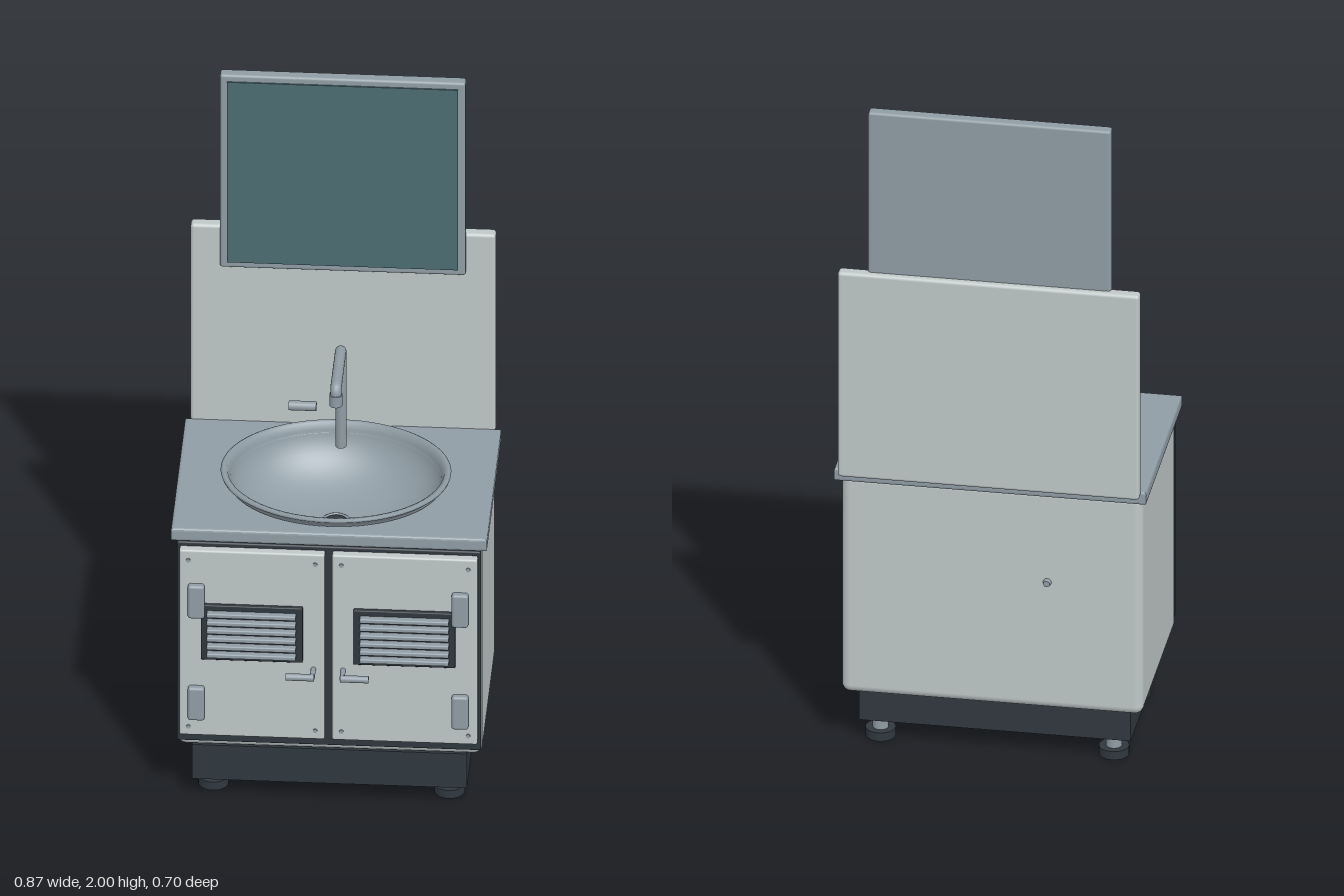
import * as THREE from 'three';
import { RoundedBoxGeometry } from 'three/addons/geometries/RoundedBoxGeometry.js';

const mat = (name, color, side = THREE.FrontSide) => {
  const m = new THREE.MeshStandardMaterial({ color, side });
  m.name = name;
  return m;
};

export function createModel() {
  const group = new THREE.Group();
  const panel = mat('light panel', 0xbfc7c7);
  const steel = mat('steel', 0x8f9ca4);
  const bowlSteel = mat('basin steel', 0x8f9ca4, THREE.DoubleSide);
  const dark = mat('dark trim', 0x30383e);
  const glass = mat('mirror glass', 0x4b6c72);

  const add = (name, geo, material, parent = group) => {
    const mesh = new THREE.Mesh(geo, material);
    mesh.name = name;
    parent.add(mesh);
    return mesh;
  };
  // Box given by its min and max corners, rounded when r > 0
  const box = (name, x0, x1, y0, y1, z0, z1, material, r = 0, parent = group) => {
    const s = [x1 - x0, y1 - y0, z1 - z0];
    const geo = r ? new RoundedBoxGeometry(...s, 3, r) : new THREE.BoxGeometry(...s);
    geo.translate((x0 + x1) / 2, (y0 + y1) / 2, (z0 + z1) / 2);
    return add(name, geo, material, parent);
  };
  // Cylinder centred at a point, along the chosen axis
  const rod = (name, x, y, z, r, len, axis, material, parent = group, r2 = r) => {
    const geo = new THREE.CylinderGeometry(r, r2, len, 24);
    if (axis === 'x') geo.rotateZ(Math.PI / 2);
    if (axis === 'z') geo.rotateX(Math.PI / 2);
    geo.translate(x, y, z);
    return add(name, geo, material, parent);
  };

  // Cabinet: rounded box left open on top so the basin can sink into it
  const cabinet = box('cabinet', -0.42, 0.42, 0.17, 0.85, -0.295, 0.245, panel, 0.025);
  const normals = cabinet.geometry.attributes.normal;
  const keep = [];
  for (let i = 0; i < normals.count; i += 3) {
    const isTop = [0, 1, 2].every((k) => normals.getY(i + k) > 0.98);
    if (!isTop) keep.push(i, i + 1, i + 2);
  }
  cabinet.geometry.setIndex(keep);
  cabinet.geometry.clearGroups();

  // Plinth and front surround
  box('plinth', -0.378, 0.378, 0.062, 0.172, -0.24, 0.24, dark);
  box('frontSurround', -0.418, 0.418, 0.2, 0.84, 0.235, 0.266, dark, 0.005);

  // Adjustable feet
  for (const x of [-0.325, 0.325]) {
    for (const z of [-0.2, 0.155]) {
      const foot = new THREE.Group();
      foot.name = 'foot';
      group.add(foot);
      rod('footPad', x, 0.013, z, 0.042, 0.026, 'y', dark, foot);
      rod('footNeck', x, 0.045, z, 0.022, 0.04, 'y', steel, foot);
    }
  }

  // Countertop with an oval opening
  const b = 0.008;
  const top = new THREE.Shape();
  top.moveTo(-0.435 + b, -0.265 + b).lineTo(0.435 - b, -0.265 + b);
  top.lineTo(0.435 - b, 0.32 - b).lineTo(-0.435 + b, 0.32 - b).closePath();
  const opening = new THREE.Path();
  opening.absellipse(0, 0.027, 0.302, 0.253, 0, Math.PI * 2, true);
  top.holes.push(opening);
  const topGeo = new THREE.ExtrudeGeometry(top, {
    depth: 0.04 - 2 * b, bevelSize: b, bevelThickness: b, bevelSegments: 3, curveSegments: 48,
  });
  topGeo.rotateX(-Math.PI / 2).translate(0, 0.84 + b, 0);
  add('countertop', topGeo, steel);

  // Oval basin: flared rim, then a round bowl
  const profile = [[0.29, 0.878], [0.3, 0.89], [0.315, 0.9], [0.317, 0.907], [0.31, 0.911], [0.298, 0.908]];
  for (let i = 1; i <= 16; i++) {
    const a = (i / 16) * Math.PI / 2;
    profile.push([0.032 + 0.262 * Math.cos(a), 0.904 - 0.164 * Math.sin(a)]);
  }
  const basinGeo = new THREE.LatheGeometry(profile.map(([x, y]) => new THREE.Vector2(x, y)), 72);
  basinGeo.scale(1, 1, 0.843).translate(0, 0, -0.027);
  add('basin', basinGeo, bowlSteel);
  rod('drain', 0, 0.741, -0.027, 0.036, 0.008, 'y', dark);
  const ring = new THREE.TorusGeometry(0.035, 0.004, 8, 32);
  ring.rotateX(Math.PI / 2).translate(0, 0.745, -0.027);
  add('drainRing', ring, steel);

  // Tap: post, arm and spout swept along one bent path
  const v = (y, z) => new THREE.Vector3(0, y, z);
  const path = new THREE.CurvePath();
  path.add(new THREE.LineCurve3(v(0.86, -0.233), v(1.15, -0.233)));
  path.add(new THREE.QuadraticBezierCurve3(v(1.15, -0.233), v(1.174, -0.233), v(1.174, -0.21)));
  path.add(new THREE.LineCurve3(v(1.174, -0.21), v(1.174, -0.04)));
  path.add(new THREE.QuadraticBezierCurve3(v(1.174, -0.04), v(1.174, -0.022), v(1.155, -0.022)));
  path.add(new THREE.LineCurve3(v(1.155, -0.022), v(1.13, -0.022)));
  add('tap', new THREE.TubeGeometry(path, 120, 0.0155, 16), steel);
  rod('spoutTip', 0, 1.138, -0.022, 0.018, 0.034, 'y', steel);
  rod('tapLever', -0.105, 0.99, -0.224, 0.0135, 0.076, 'x', steel);

  // Splashback and mirror
  box('splashback', -0.42, 0.42, 0.87, 1.505, -0.353, -0.315, panel, 0.01);
  box('mirrorFrame', -0.338, 0.338, 1.38, 2.0, -0.335, -0.299, steel, 0.008);
  box('mirrorGlass', -0.318, 0.318, 1.4, 1.98, -0.301, -0.295, glass);

  // Doors, built once per side
  for (const s of [-1, 1]) {
    const door = new THREE.Group();
    door.name = s > 0 ? 'leftDoor' : 'rightDoor';
    group.add(door);
    const part = (name, xa, xb, ...rest) =>
      box(name, Math.min(s * xa, s * xb), Math.max(s * xa, s * xb), ...rest, door);
    part('doorPanel', 0.01, 0.41, 0.233, 0.828, 0.262, 0.291, panel, 0.006);
    for (const y of [0.29, 0.618]) part('hinge', 0.34, 0.386, y, y + 0.105, 0.285, 0.31, steel, 0.008);
    // Louvred vent
    part('ventPanel', 0.07, 0.35, 0.485, 0.66, 0.285, 0.303, dark, 0.003);
    for (let i = 0; i < 6; i++) {
      const y = 0.508 + i * 0.0258;
      part('ventSlat', 0.088, 0.333, y - 0.007, y + 0.007, 0.3, 0.322, steel, 0.004);
    }
    // Handle
    rod('handlePost', s * 0.041, 0.46, 0.312, 0.007, 0.056, 'z', steel, door);
    rod('handleBar', s * 0.075, 0.46, 0.337, 0.01, 0.078, 'x', steel, door);
    // Corner screws
    for (const x of [0.036, 0.385]) {
      for (const y of [0.262, 0.797]) rod('screw', s * x, y, 0.291, 0.006, 0.006, 'z', steel, door);
    }
  }

  // Small outlet on the back
  const outlet = rod('backOutlet', -0.155, 0.565, -0.298, 0.013, 0.02, 'z', steel, group, 0.009);
  outlet.name = 'backOutlet';
  return group;
}
